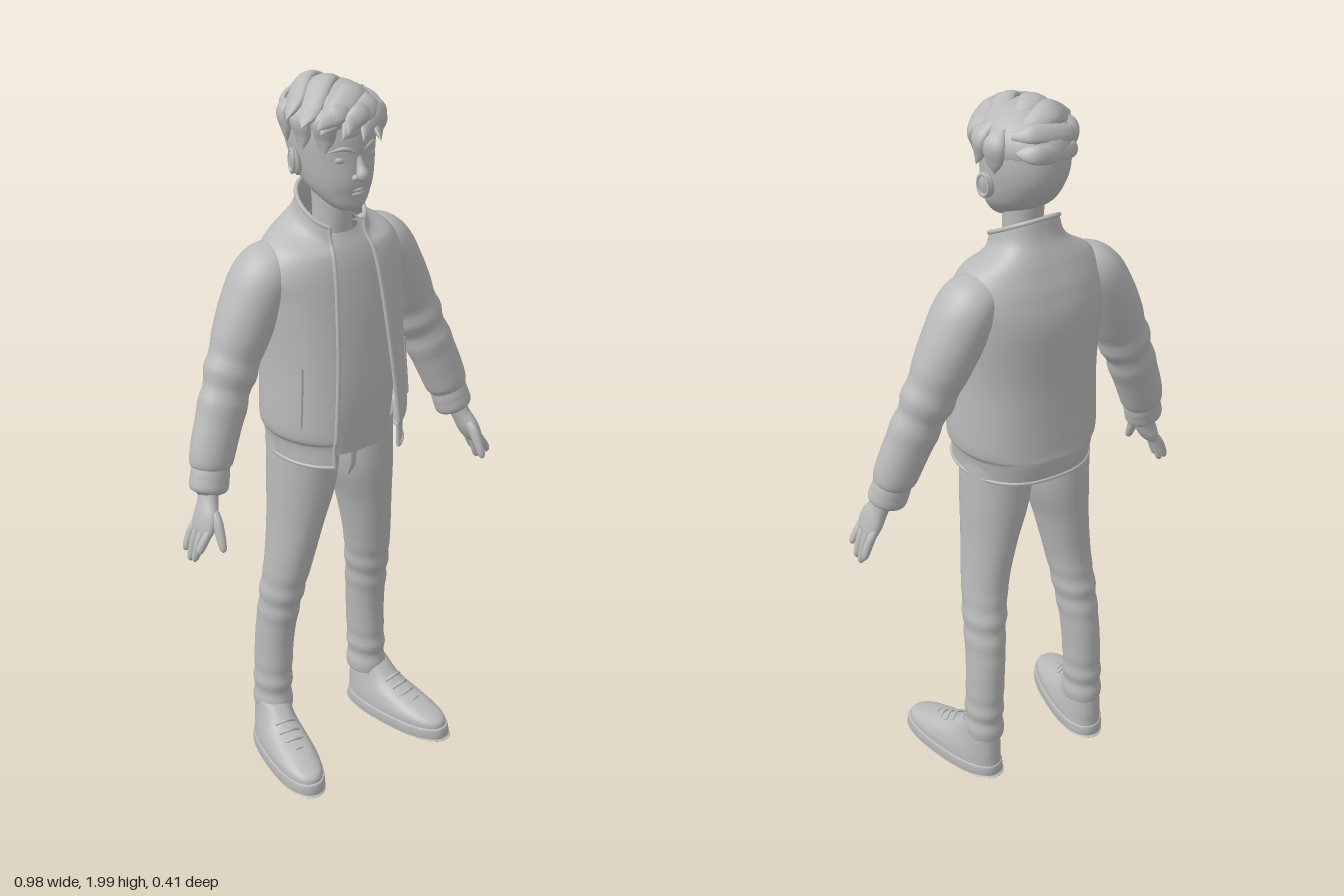
import * as THREE from 'three';
import { ParametricGeometry } from 'three/addons/geometries/ParametricGeometry.js';

const V = (x, y, z) => new THREE.Vector3(x, y, z);
const smooth = (pts) => new THREE.CatmullRomCurve3(pts, false, 'catmullrom', 0.5);

// Skin over oval sections [x, y, z, halfWidth, halfDepth].
// level keeps every section horizontal; otherwise they stand across the path.
function loft(sections, { level = false, ref = V(0, 0, 1), round = 20, steps = 6, power = 1, fold = () => 1 } = {}) {
  const path = smooth(sections.map((s) => V(s[0], s[1], s[2])));
  const size = smooth(sections.map((s) => V(s[3], s[4], 0)));
  const bend = (n) => Math.sign(n) * Math.abs(n) ** power;
  return new ParametricGeometry((u, v, out) => {
    const c = path.getPoint(v), r = size.getPoint(v).multiplyScalar(fold(c.y));
    const t = level ? V(0, 1, 0) : path.getTangent(v);
    const across = t.clone().cross(ref).normalize();
    const deep = t.clone().cross(across);
    const a = u * Math.PI * 2;
    out.copy(c)
      .addScaledVector(across, Math.max(r.x, 0.0008) * bend(Math.cos(a)))
      .addScaledVector(deep, Math.max(r.y, 0.0008) * bend(Math.sin(a)));
  }, round, (sections.length - 1) * steps);
}

// Upright stack of sections [y, z, halfWidth, halfDepth]
const stack = (rows, options) => loft(rows.map((r) => [0, ...r]), { level: true, ...options });

// Straight-faced wave of cloth folds around height y
const wave = (h, y, reach, pitch) => Math.exp(-(((h - y) / reach) ** 2)) * Math.sin((h - y) * pitch);

// Garment surface from rows [y, halfWidth, front, back, halfOpening, tilt]
function garment(rows) {
  const c1 = smooth(rows.map((r) => V(r[0], r[1], r[4])));
  const c2 = smooth(rows.map((r) => V(r[2], r[3], r[5])));
  return (u, v, out) => {
    const p = c1.getPoint(v), q = c2.getPoint(v);
    const start = Math.asin(Math.min(1, Math.max(0, p.z / p.y)) ** 1.25);
    const a = start + u * (Math.PI * 2 - start * 2);
    const s = Math.sin(a), mid = (q.x + q.y) / 2, dz = Math.cos(a) * (q.x - q.y) / 2;
    return out.set(p.y * Math.sign(s) * Math.abs(s) ** 0.8, p.x - q.z * dz, mid + dz);
  };
}

export function createModel() {
  const clay = new THREE.MeshStandardMaterial({ color: 0xbababa, side: THREE.DoubleSide });
  clay.name = 'light grey';
  const model = new THREE.Group();
  model.name = 'standing youth';
  const add = (name, geo, parent = model) => {
    const m = new THREE.Mesh(geo, clay);
    m.name = name;
    parent.add(m);
    return m;
  };
  const ball = (name, x, y, z, a, b, c, parent) => {
    const m = add(name, new THREE.SphereGeometry(1, 24, 16), parent);
    m.position.set(x, y, z);
    m.scale.set(a, b, c);
    return m;
  };
  const group = (name) => {
    const g = new THREE.Group();
    g.name = name;
    model.add(g);
    return g;
  };

  // Open jacket with gathered hem and a collar that rises at the back
  const jacket = garment([
    [0.975, 0.182, 0.155, -0.185, 0.105, 0], [1.03, 0.188, 0.152, -0.195, 0.105, 0],
    [1.07, 0.203, 0.152, -0.193, 0.102, 0], [1.25, 0.2, 0.132, -0.188, 0.086, 0],
    [1.42, 0.21, 0.104, -0.194, 0.073, 0], [1.5, 0.212, 0.088, -0.18, 0.067, 0.05],
    [1.56, 0.178, 0.072, -0.156, 0.062, 0.15], [1.605, 0.105, 0.057, -0.128, 0.056, 0.4],
    [1.65, 0.086, 0.052, -0.116, 0.054, 0.55],
  ]);
  const outer = group('jacket');
  add('jacketShell', new ParametricGeometry(jacket, 72, 64), outer);
  const seam = (name, n, at, radius) => {
    const pts = Array.from({ length: n + 1 }, (_, i) => jacket(...at(i / n), V(0, 0, 0)));
    add(name, new THREE.TubeGeometry(smooth(pts), n * 2, radius, 8), outer);
  };
  seam('zipRight', 24, (t) => [1, t], 0.006);
  seam('zipLeft', 24, (t) => [0, t], 0.006);
  seam('collarRim', 30, (t) => [t, 1], 0.006);
  seam('hemRim', 30, (t) => [t, 0], 0.005);
  for (const u of [0.1, 0.9]) seam('pocketWelt', 8, (t) => [u, 0.27 + t * 0.11], 0.005);

  // Shirt under the jacket, and the neck
  const shirt = garment([
    [0.985, 0.155, 0.105, -0.15, 0, 0], [1.15, 0.17, 0.114, -0.16, 0, 0],
    [1.35, 0.175, 0.096, -0.165, 0, 0], [1.48, 0.17, 0.075, -0.16, 0, 0],
    [1.55, 0.13, 0.058, -0.13, 0, 0.1], [1.605, 0.062, 0.036, -0.075, 0, 0.3],
  ]);
  add('shirt', new ParametricGeometry(shirt, 48, 40));
  add('neck', stack([[1.55, -0.035, 0.062, 0.06], [1.62, -0.025, 0.05, 0.054], [1.76, -0.03, 0.053, 0.066]]));

  // Limbs, built once for each side
  for (const s of [1, -1]) {
    const side = s > 0 ? 'left' : 'right';
    const flip = (rows) => rows.map(([x, ...rest]) => [x * s, ...rest]);

    const arm = group(side + 'Arm');
    add('sleeve', loft(flip([
      [0.1, 1.53, -0.06, 0.03, 0.05], [0.178, 1.492, -0.065, 0.074, 0.085],
      [0.235, 1.395, -0.065, 0.08, 0.083], [0.3, 1.25, -0.055, 0.071, 0.064],
      [0.365, 1.09, -0.034, 0.065, 0.057], [0.388, 1.025, -0.025, 0.061, 0.054],
      [0.394, 1.002, -0.022, 0.052, 0.047],
    ]), { round: 28, steps: 9, fold: (y) => 1 + 0.07 * wave(y, 1.22, 0.07, 70) }), arm);
    add('cuff', loft(flip([
      [0.39, 1.015, -0.023, 0.05, 0.045], [0.4, 0.98, -0.016, 0.054, 0.048],
      [0.41, 0.945, -0.01, 0.049, 0.044], [0.411, 0.941, -0.01, 0.002, 0.002],
    ])), arm);
    add('palm', loft(flip([
      [0.408, 0.965, -0.008, 0.026, 0.03], [0.422, 0.925, 0.005, 0.025, 0.032],
      [0.438, 0.885, 0.018, 0.025, 0.044], [0.453, 0.85, 0.021, 0.018, 0.042],
      [0.458, 0.838, 0.021, 0.003, 0.03],
    ])), arm);
    [0.8, 0.772, 0.766, 0.785].forEach((tip, i) => {
      const z = 0.052 - i * 0.022;
      add('finger', loft(flip([
        [0.445, 0.87, z, 0.01, 0.01], [0.464, 0.84, z, 0.0125, 0.0115],
        [0.481, tip + 0.012, z, 0.01, 0.0095], [0.48, tip, z, 0.001, 0.001],
      ]), { round: 12, steps: 5 }), arm);
    });
    add('thumb', loft(flip([
      [0.425, 0.915, 0.025, 0.012, 0.012], [0.428, 0.885, 0.058, 0.016, 0.014],
      [0.433, 0.825, 0.09, 0.01, 0.01], [0.433, 0.815, 0.091, 0.001, 0.001],
    ]), { ref: V(1, 0, 0), round: 12, steps: 5 }), arm);

    // Trouser leg with soft folds at the knee and ankle
    const leg = group(side + 'Leg');
    const creases = (y) => 1 + 0.05 * wave(y, 0.2, 0.06, 95) + 0.04 * wave(y, 0.5, 0.07, 85);
    add('trouserLeg', loft(flip([
      [0.165, 0.15, -0.088, 0.04, 0.05], [0.165, 0.13, -0.088, 0.052, 0.062],
      [0.165, 0.2, -0.089, 0.051, 0.06], [0.158, 0.36, -0.086, 0.052, 0.062],
      [0.148, 0.5, -0.067, 0.057, 0.068], [0.134, 0.62, -0.048, 0.062, 0.077],
      [0.115, 0.75, -0.04, 0.072, 0.093], [0.095, 0.88, -0.037, 0.091, 0.107],
      [0.088, 1.03, -0.037, 0.095, 0.111],
    ]), { level: true, round: 28, steps: 10, fold: creases }), leg);

    // Shoe, toe turned outwards
    const shoe = group(side + 'Shoe');
    shoe.position.set(0.172 * s, 0, -0.09);
    shoe.rotation.y = 0.19 * s;
    const outline = { round: 36, power: 0.85 };
    add('sole', stack([
      [0, 0.122, 0.001, 0.001], [0.001, 0.122, 0.06, 0.176], [0.008, 0.122, 0.067, 0.184],
      [0.034, 0.121, 0.067, 0.182], [0.038, 0.121, 0.06, 0.174],
    ], outline), shoe);
    add('upper', stack([
      [0.03, 0.12, 0.064, 0.178], [0.055, 0.115, 0.063, 0.172], [0.077, 0.087, 0.058, 0.144],
      [0.11, 0.035, 0.049, 0.09], [0.158, 0.005, 0.042, 0.056],
    ], outline), shoe);
    for (let i = 0; i < 4; i++) {
      const y = 0.086 + i * 0.014, z = 0.19 - i * 0.027;
      add('lace', loft([-1, 0, 1].map((k) =>
        [k * 0.03, y + 0.004 - 0.012 * k * k, z - 0.01 * k * k, 0.004, 0.005]), { round: 8 }), shoe);
    }
  }
  add('trouserFly', loft([[0.004, 0.97, 0.066, 0.012, 0.006], [0.004, 0.92, 0.06, 0.01, 0.006],
    [0, 0.885, 0.045, 0.003, 0.004]], { round: 10 }));

  // Head and face
  const head = group('head');
  add('skull', stack([
    [1.655, 0.048, 0.002, 0.002], [1.66, 0.045, 0.03, 0.03], [1.675, 0.034, 0.052, 0.052],
    [1.705, 0.01, 0.076, 0.08], [1.74, -0.012, 0.092, 0.108], [1.8, -0.031, 0.105, 0.126],
    [1.86, -0.036, 0.109, 0.131], [1.91, -0.037, 0.098, 0.121], [1.955, -0.036, 0.06, 0.075],
    [1.968, -0.036, 0.002, 0.002],
  ], { round: 40 }), head);
  add('nose', loft([[0, 1.815, 0.084, 0.009, 0.008], [0, 1.785, 0.097, 0.011, 0.012],
    [0, 1.762, 0.107, 0.017, 0.016], [0, 1.747, 0.098, 0.006, 0.006]], { round: 16 }), head);
  const lip = (name, y, z, r) => add(name, loft([-2, -1, 0, 1, 2].map((k) =>
    [k * 0.015, y, z - 0.0033 * k * k, r * (1.05 - k * k / 4), r * (1.05 - k * k / 4)]), { round: 10 }), head);
  lip('upperLip', 1.72, 0.091, 0.006);
  lip('lowerLip', 1.709, 0.089, 0.007);
  ball('chin', 0, 1.682, 0.069, 0.026, 0.02, 0.019, head);
  for (const s of [1, -1]) {
    ball('eye', 0.041 * s, 1.803, 0.07, 0.02, 0.013, 0.015, head);
    ball('nostrilWing', 0.014 * s, 1.755, 0.094, 0.009, 0.009, 0.01, head);
    add('eyebrow', loft([[0.014 * s, 1.824, 0.092, 0.004, 0.004], [0.042 * s, 1.834, 0.084, 0.007, 0.006],
      [0.074 * s, 1.824, 0.062, 0.001, 0.001]], { round: 10 }), head);
    const ear = ball('ear', 0.109 * s, 1.782, -0.03, 0.014, 0.036, 0.024, head);
    ear.rotation.set(-0.15, 0.35 * s, -0.12 * s);
    const rim = add('earRim', new THREE.TorusGeometry(0.024, 0.005, 8, 24), head);
    rim.position.set(0.119 * s, 1.785, -0.032);
    rim.rotation.set(0, Math.PI / 2 + 0.3 * s, 0);
    rim.scale.set(0.75, 1.2, 1);
  }

  // Hair: a close cap with tapered locks that follow its curve from root to tip
  const hair = group('hair');
  ball('hairCap', 0, 1.893, -0.036, 0.112, 0.081, 0.132, hair).rotation.x = -0.1;
  const centre = V(0, 1.887, -0.033), girth = V(0.113, 0.083, 0.134);
  const lock = (name, root, tip, width, lift) => {
    const pts = [0, 1, 2, 3].map((i) => {
      const p = root.clone().lerp(tip, i / 3);
      if (i === 0 || i === 3) return p;
      return p.sub(centre).divide(girth).setLength(lift).multiply(girth).add(centre);
    });
    const rows = pts.map((p, i) => {
      const w = width * [0.4, 1, 0.85, 0.03][i];
      return [p.x, p.y, p.z, w, w * 0.5];
    });
    const out = pts[1].clone().add(pts[2]).multiplyScalar(0.5).sub(V(0, 1.86, -0.02));
    add(name, loft(rows, { ref: out, round: 14, steps: 7 }), hair);
  };
  // quiff fanning from the crown to the right and forward
  for (let i = 0; i < 6; i++) {
    const t = i / 5, a = t * 1.75;
    lock('quiffLock', V(0.05 + 0.04 * t, 1.94 - 0.02 * t, -0.1 + 0.13 * t),
      V(-0.155 * Math.cos(a), 1.91 - 0.05 * t, 0.148 * Math.sin(a)), 0.036 - 0.006 * t, 1.07);
  }
  // side locks hanging around the temples, angle measured from the front
  for (const a of [-1.9, -1.35, -0.85, 0.75, 1.35, 1.95]) {
    const x = Math.sin(a), z = Math.cos(a);
    lock('templeLock', V(0.07 * x + 0.02, 1.94, 0.07 * z - 0.04),
      V(0.118 * x, 1.825, 0.13 * z - 0.02), 0.03, 1.06);
  }
  // stray curls at the brow and strands across the back
  for (const k of [0, 1]) {
    lock('browCurl', V(0.03 - 0.05 * k, 1.94, 0.07), V(-0.08 - 0.06 * k, 1.9 + 0.01 * k, 0.155 - 0.045 * k), 0.025, 1.2);
    lock('backStrand', V(0.08, 1.93 - 0.03 * k, -0.1), V(-0.1, 1.89 - 0.02 * k, -0.08), 0.024, 1.02);
  }
  return model;
}
